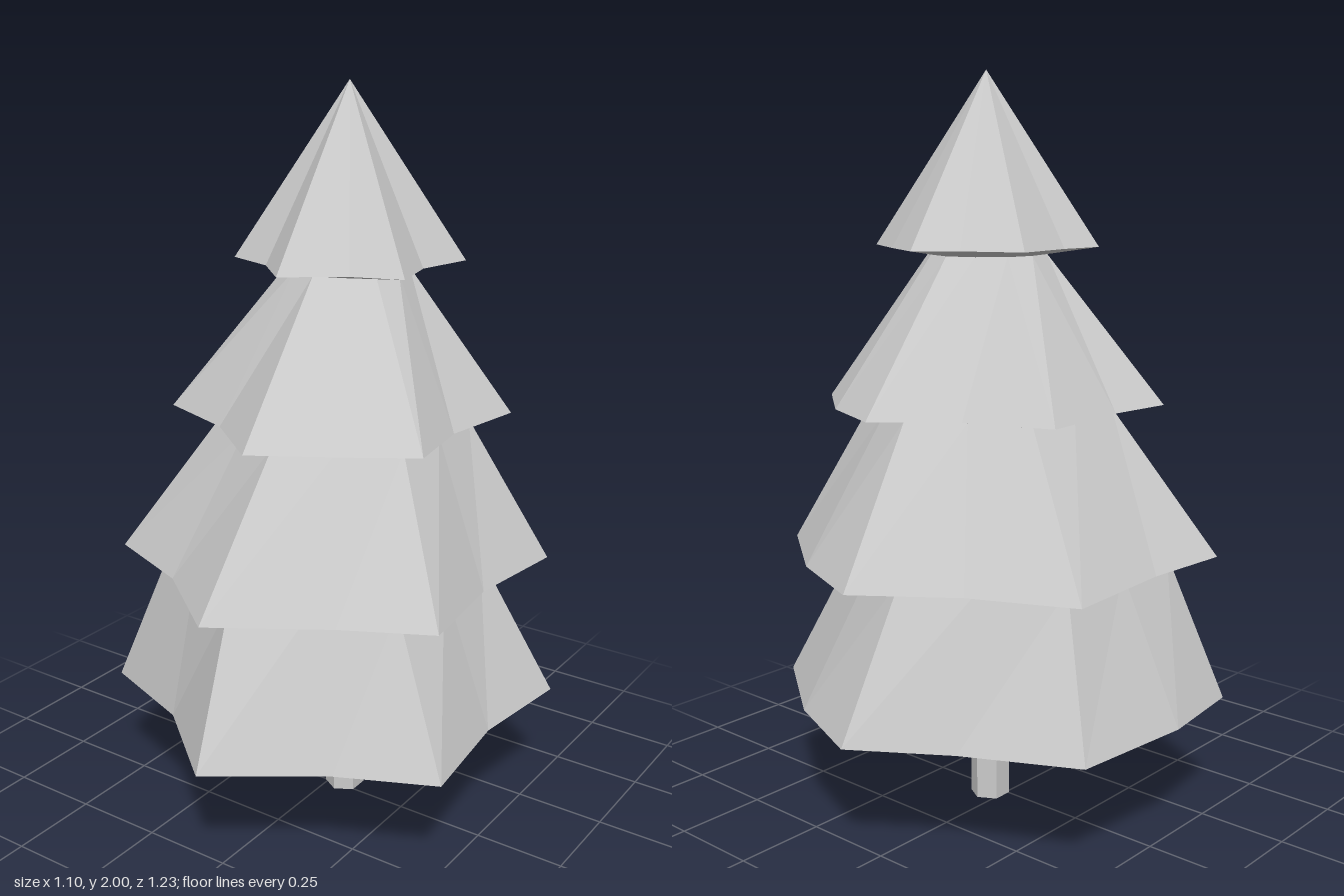
import * as THREE from 'three';

const MID = [0.04, -0.03]; // axis of the trunk and the tip
const SIDES = 12;

// rim: x, z of twelve branch corners, starting at the back and going round by +x
// top: height, centre and radius of the neck; notch: how far its odd corners stay out
const tiers = [
  {
    name: 'bottomBranches', y: 0.33, top: { y: 0.73, x: -0.01, z: 0.005, r: 0.43, notch: 0.89 },
    rim: [0.015, -0.615, 0.28, -0.505, 0.55, -0.31, 0.515, -0.005, 0.55, 0.305, 0.3, 0.42,
      0.015, 0.615, -0.235, 0.41, -0.52, 0.305, -0.553, 0.04, -0.52, -0.31, -0.23, -0.455],
  },
  {
    name: 'lowerBranches', y: 0.73, top: { y: 1.125, x: 0.04, z: -0.02, r: 0.33, notch: 0.88 },
    rim: [0.01, -0.6, 0.265, -0.495, 0.52, -0.305, 0.485, -0.005, 0.52, 0.285, 0.295, 0.4,
      0.01, 0.58, -0.235, 0.39, -0.5, 0.285, -0.48, 0.03, -0.5, -0.305, -0.23, -0.425],
  },
  {
    name: 'upperBranches', y: 1.14, top: { y: 1.53, x: 0.04, z: -0.03, r: 0.16, notch: 0.97 },
    rim: [0.04, -0.485, 0.23, -0.41, 0.415, -0.255, 0.38, -0.01, 0.415, 0.2, 0.25, 0.305,
      0.04, 0.43, -0.15, 0.28, -0.375, 0.2, -0.355, 0.015, -0.375, -0.255, -0.145, -0.335],
  },
  {
    name: 'topBranches', y: 1.55, top: { y: 2, x: 0.043, z: -0.03, r: 0, notch: 1 },
    rim: [0.03, -0.33, 0.16, -0.265, 0.305, -0.18, 0.27, -0.025, 0.305, 0.12, 0.175, 0.165,
      0.03, 0.27, -0.08, 0.165, -0.215, 0.12, -0.2, -0.005, -0.215, -0.18, -0.065, -0.25],
  },
];

function ring(corner) {
  return Array.from({ length: SIDES }, (_, i) => corner(i));
}

function rimRing({ rim, y }) {
  return ring((i) => [rim[2 * i], y, rim[2 * i + 1]]);
}

function topRing({ top }) {
  return ring((i) => {
    const a = (i / SIDES) * Math.PI * 2;
    const r = top.r * (i % 2 ? top.notch : 1);
    return [top.x + r * Math.sin(a), top.y, top.z - r * Math.cos(a)];
  });
}

// Joins each ring to the next with two triangles per side
function skin(rings) {
  const pos = [];
  for (let r = 0; r < rings.length - 1; r++) {
    const a = rings[r], b = rings[r + 1];
    for (let i = 0; i < SIDES; i++) {
      const j = (i + 1) % SIDES;
      pos.push(...a[i], ...a[j], ...b[j], ...a[i], ...b[j], ...b[i]);
    }
  }
  const geo = new THREE.BufferGeometry();
  geo.setAttribute('position', new THREE.Float32BufferAttribute(pos, 3));
  geo.computeVertexNormals();
  return geo;
}

export function createModel() {
  const tree = new THREE.Group();
  tree.name = 'pineTree';
  const material = new THREE.MeshStandardMaterial({ color: 0xcccccc, flatShading: true });

  // Trunk
  const trunk = new THREE.Mesh(new THREE.CylinderGeometry(0.055, 0.055, 0.53, 6), material);
  trunk.name = 'trunk';
  trunk.position.set(MID[0], 0.265, MID[1] + 0.005);
  tree.add(trunk);

  // Branch tiers: sloping skirt, then an underside running in to the tier below
  tiers.forEach((tier, k) => {
    const inner = k ? topRing(tiers[k - 1]) : ring(() => [MID[0], 0.53, MID[1]]);
    const mesh = new THREE.Mesh(skin([topRing(tier), rimRing(tier), inner]), material);
    mesh.name = tier.name;
    tree.add(mesh);
  });
  return tree;
}
